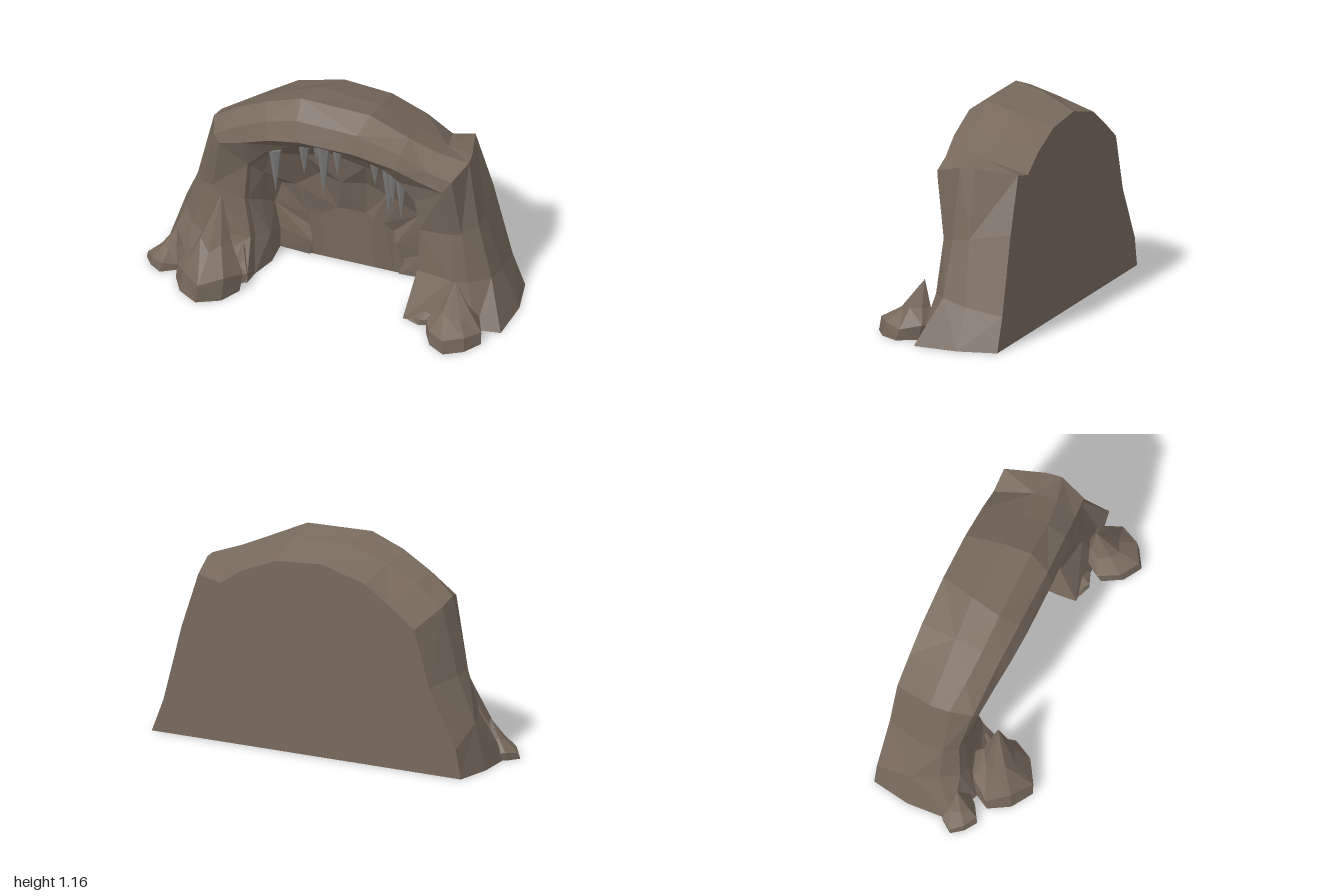
import * as THREE from 'three';

const rock = new THREE.MeshStandardMaterial({ color: 0x77695d });
rock.name = 'brown rock';
const stone = new THREE.MeshStandardMaterial({ color: 0x7c7b7a });
stone.name = 'grey stone';

// seeded wobble in -1..1
let seed = 7;
const wobble = () => {
  seed = (seed * 16807) % 2147483647;
  return (seed / 2147483647) * 2 - 1;
};
const lerp = THREE.MathUtils.lerp;

// arch profiles [x, y], foot to foot over the top
const backEdge = [[-.91, 0], [-.88, .16], [-.72, .47], [-.63, .78], [-.48, .89], [-.33, .99], [-.07, 1.06],
  [.2, 1.04], [.4, .96], [.54, .87], [.67, .9], [.77, .6], [.88, .18], [.95, 0]];
const crest = [[-.93, 0], [-.83, .28], [-.77, .5], [-.68, .89], [-.53, 1], [-.36, 1.09], [-.17, 1.16],
  [.22, 1.15], [.44, 1.05], [.6, .98], [.75, .93], [.81, .55], [.89, .25], [.99, 0]];
const lip = [[-.75, 0], [-.7, .22], [-.66, .5], [-.6, .82], [-.46, .87], [-.3, .94], [-.13, .98],
  [.17, .98], [.4, .93], [.53, .87], [.66, .82], [.69, .52], [.7, .25], [.72, 0]];
const mouth = [[-.42, 0], [-.44, .22], [-.48, .45], [-.46, .68], [-.36, .79], [-.22, .87], [-.05, .91],
  [.14, .9], [.3, .86], [.4, .79], [.48, .68], [.51, .5], [.5, .25], [.46, 0]];

// how far the front bulges out at each height
const bulge = [[0, .13], [.2, .06], [.5, .015], [.75, .05], [.98, .13], [1.3, .13]];
function frontZ(y) {
  const k = bulge.findIndex((b) => b[0] > y);
  const [a, b] = [bulge[k - 1], bulge[k]];
  return lerp(a[1], b[1], (y - a[0]) / (b[0] - a[0]));
}

function flat(positions) {
  const g = new THREE.BufferGeometry();
  g.setAttribute('position', new THREE.Float32BufferAttribute(positions, 3));
  g.computeVertexNormals();
  return g;
}

function caveShell() {
  const rough = (p, amount) => (p[1] === 0 ? p : p.map((v) => v + wobble() * amount));
  const shoulder = crest.map(([x, y], i) =>
    rough([lerp(backEdge[i][0], x, .6) * 1.025, lerp(backEdge[i][1], y, .65), -.18], .012));
  // the inside slopes back gently from the mouth to the foot of the rear wall
  const ceiling = mouth.map(([x, y]) => rough([x * .98, y * .95, y === 0 ? .03 : -.03], .008));
  const throat = mouth.map(([x, y]) => rough([x * .93 + .02, y * .83, -.11], .015));
  const wall = mouth.map(([x, y]) => rough([x * (.95 - .2 * y) + .02, y * .62, -.25 + .06 * y], .018));
  const innerWall = wall.map(([x, y]) => rough([x * .6 + .02, y * .6, -.24], .018));
  const rings = [
    backEdge.map(([x, y]) => [x, y, -.39]),
    shoulder,
    // the upper corners of the crest are rounded back
    crest.map(([x, y]) => [x, y, y === 0 ? .07 : -.015 - .25 * x ** 4 * y]),
    crest.map(([x, y], i) => rough([lerp(x, lip[i][0], .5), lerp(y, lip[i][1], .42), frontZ(lip[i][1]) * .7], .008)),
    lip.map(([x, y]) => [x, y, frontZ(y)]),
    mouth.map(([x, y]) => [x, y, y === 0 ? .13 : frontZ(y) * .4]),
    ceiling, throat, wall, innerWall,
    innerWall.map(([x]) => [x, 0, -.25]),
  ];
  const out = [];
  const tri = (a, b, c) => out.push(...a, ...b, ...c);
  const last = crest.length - 1;
  for (let r = 0; r < rings.length - 1; r++) {
    for (let i = 0; i < last; i++) {
      const a = rings[r][i], b = rings[r][i + 1], c = rings[r + 1][i + 1], d = rings[r + 1][i];
      if ((r + i) % 2) { tri(a, d, b); tri(b, d, c); } else { tri(a, d, c); tri(a, c, b); }
    }
  }
  // flat back
  for (let i = 0; i < last; i++) tri([0, 0, -.39], rings[0][i], rings[0][i + 1]);
  // flat underside
  const footRings = rings.slice(0, 9);
  const feet = [...footRings.map((r) => r[0]), ...footRings.map((r) => r[last]).reverse()];
  const outline = feet.map((p) => new THREE.Vector2(p[0], p[2]));
  for (const [i, j, k] of THREE.ShapeUtils.triangulateShape(outline, [])) {
    const [a, b, c] = [feet[i], feet[j], feet[k]];
    const up = (b[2] - a[2]) * (c[0] - a[0]) - (b[0] - a[0]) * (c[2] - a[2]);
    if (up > 0) tri(a, c, b); else tri(a, b, c);
  }
  return flat(out);
}

// jagged boulder rising to a point: base centre, half sizes, tip
function spike([cx, cz], [rx, rz], [tx, ty, tz], sides = 9) {
  const levels = [[0, 1], [.2, 1], [.5, .52], [1, 0]];
  const rings = levels.map(([t, r]) => Array.from({ length: sides }, (_, i) => {
    const a = (i / sides) * Math.PI * 2;
    const k = r * (i % 2 ? .88 : 1) * (1 + wobble() * .05);
    const h = t === 0 || t === 1 ? t : t + wobble() * .07;
    return [lerp(cx, tx, t) + Math.sin(a) * rx * k, h * ty, lerp(cz, tz, t) + Math.cos(a) * rz * k];
  }));
  const out = [];
  for (let i = 0; i < sides; i++) {
    const j = (i + 1) % sides;
    out.push(cx, 0, cz, ...rings[0][j], ...rings[0][i]);
    for (let r = 0; r < 3; r++) {
      const [a, b, c, d] = [rings[r][i], rings[r][j], rings[r + 1][j], rings[r + 1][i]];
      out.push(...a, ...b, ...d);
      if (r < 2) out.push(...b, ...c, ...d);
    }
  }
  return flat(out);
}

export function createModel() {
  const group = new THREE.Group();
  const add = (name, geometry, material) => {
    const mesh = new THREE.Mesh(geometry, material);
    mesh.name = name;
    group.add(mesh);
    return mesh;
  };
  add('caveShell', caveShell(), rock);

  // boulders at the feet
  add('tallSpike', spike([-.61, .21], [.185, .18], [-.55, .565, .16], 8), rock);
  add('shortSpike', spike([.775, .2], [.155, .165], [.75, .3, .11], 8), rock);
  add('outerBoulder', spike([-.885, .095], [.115, .1], [-.84, .21, .06], 8), rock);
  add('innerBoulderRight', spike([-.48, .09], [.07, .08], [-.47, .2, .05], 6), rock);
  add('innerBoulderLeft', spike([.56, .09], [.1, .07], [.6, .13, .06], 8), rock);

  // stalactites: x, top, tip, radius
  const hanging = [[-.31, .81, .53, .037], [-.14, .89, .7, .032], [-.08, .91, .78, .022], [-.03, .92, .57, .04],
    [.04, .91, .71, .03], [.26, .88, .73, .03], [.33, .86, .54, .04], [.36, .83, .62, .026], [.4, .8, .53, .034]];
  hanging.forEach(([x, top, tip, radius], i) => {
    const cone = new THREE.ConeGeometry(radius, top - tip, 6, 1).rotateX(Math.PI).toNonIndexed();
    cone.computeVertexNormals();
    add('stalactite', cone, stone).position.set(x, (top + tip) / 2, i % 2 ? .015 : -.005);
  });
  return group;
}
